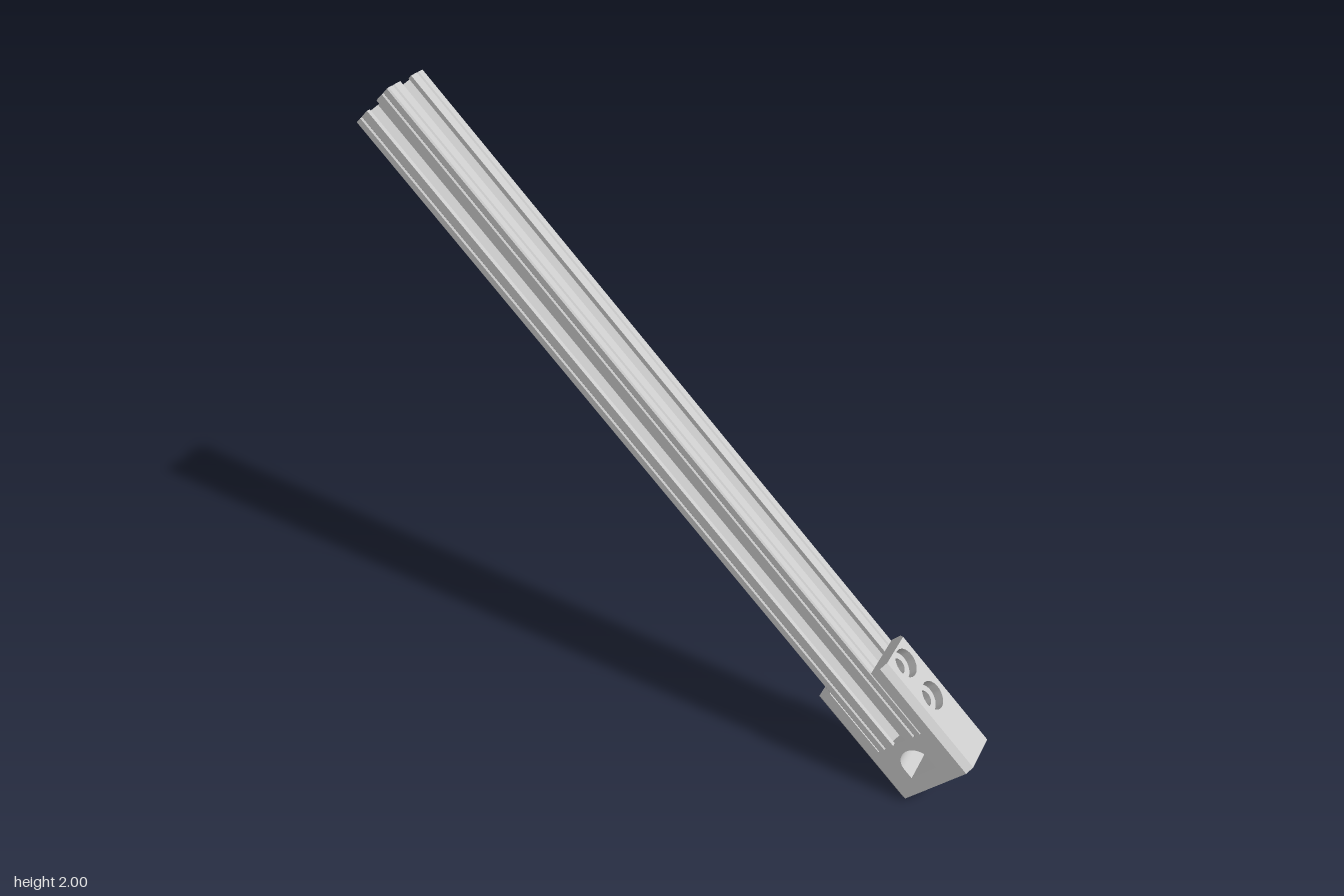
import * as THREE from 'three';
import { toCreasedNormals } from 'three/addons/utils/BufferGeometryUtils.js';

const steel = new THREE.MeshStandardMaterial({ color: 0xcccccc, side: THREE.DoubleSide });
const V = (x, y, z) => new THREE.Vector3(x, y, z);

// Local frame: y runs up the bar, the bracket's end face lies on y = 0
const BAR = 0.088;            // half width of bar and bracket depth
const W = 0.145;              // half width of bracket
const C = 0.02;               // chamfer of bracket's long edges
const FLOOR = 0.174;          // bar seat
const ARM = 0.412;            // arm tips
const TOP = 2.595;            // bar end

function polygon(points) {
  return new THREE.Shape(points.map(([x, y]) => new THREE.Vector2(x, y)));
}

function circleHole(x, y, r) {
  return new THREE.Path().absarc(x, y, r, 0, Math.PI * 2, true);
}

function addMesh(parent, name, geometry) {
  const mesh = new THREE.Mesh(geometry, steel);
  mesh.name = name;
  parent.add(mesh);
  return mesh;
}

// Flat face spanned by u and v; its outside is u x v
function panel(parent, name, shape, origin, u, v) {
  const n = u.clone().cross(v);
  const m = new THREE.Matrix4().makeBasis(u, v, n).setPosition(origin);
  return addMesh(parent, name, new THREE.ShapeGeometry(shape, 16).applyMatrix4(m));
}

function rect(x0, y0, x1, y1) {
  return polygon([[x0, y0], [x1, y0], [x1, y1], [x0, y1]]);
}

// Stepped hole sinking from a face with the given outward normal
function bore(parent, name, origin, normal, r1, d1, r2, d2, floor) {
  const pts = [[r1, 0], [r1, -d1], [r2, -d1], [r2, -d2]];
  if (floor) pts.push([0, -d2]);
  const g = new THREE.LatheGeometry(pts.map(p => new THREE.Vector2(...p)), 32);
  const mesh = addMesh(parent, name, toCreasedNormals(g, 0.6));
  mesh.position.copy(origin);
  mesh.quaternion.setFromUnitVectors(V(0, 1, 0), normal);
}

// Slotted bar: one side of the section repeated four times, with a centre bore
function buildBar(parent) {
  const side = [
    [9.5, 10], [7.3, 10], [6.8, 9.5], [6.3, 10], [3, 10], [3, 8.4],
    [5.9, 8.4], [5.9, 7.2], [2.8, 4.1],
  ];
  const half = [...side, ...side.slice().reverse().map(([x, y]) => [-x, y])];
  const outline = [];
  for (let k = 0; k < 4; k++) {
    const a = k * Math.PI / 2, c = Math.cos(a), s = Math.sin(a);
    for (const [x, y] of half) outline.push([(x * c - y * s) * BAR / 10, (x * s + y * c) * BAR / 10]);
  }
  const shape = polygon(outline);
  shape.holes.push(circleHole(0, 0, 0.02));
  const g = new THREE.ExtrudeGeometry(shape, { depth: TOP - FLOOR, bevelEnabled: false, curveSegments: 12 });
  g.rotateX(-Math.PI / 2);
  addMesh(parent, 'slottedBar', g).position.y = FLOOR;
}

function buildBracket(parent) {
  const X = V(1, 0, 0), Y = V(0, 1, 0), Z = V(0, 0, 1);
  const holeY = 0.089, holeR = 0.052, flatY = 0.054;
  const edge = W - C, zEdge = BAR - C;

  // Front and back cheeks with the D-shaped window
  const cheek = polygon([
    [-edge, 0], [edge, 0], [edge, ARM], [BAR, ARM],
    [BAR, FLOOR], [-BAR, FLOOR], [-BAR, ARM], [-edge, ARM],
  ]);
  const d = new THREE.Path();
  d.moveTo(-holeR, flatY);
  d.lineTo(holeR, flatY);
  d.lineTo(holeR, holeY);
  d.absarc(0, holeY, holeR, 0, Math.PI, false);
  d.lineTo(-holeR, flatY);
  cheek.holes.push(d);
  panel(parent, 'frontCheek', cheek, V(0, 0, BAR), X, Y);
  panel(parent, 'backCheek', cheek, V(0, 0, -BAR), X.clone().negate(), Y);

  // Walls of the window
  const arch = new THREE.CylinderGeometry(holeR, holeR, 2 * BAR, 24, 1, true, -Math.PI / 2, Math.PI);
  arch.rotateX(-Math.PI / 2);
  addMesh(parent, 'windowArch', arch).position.y = holeY;
  panel(parent, 'windowSill', rect(-BAR, -holeR, BAR, holeR), V(0, flatY, 0), Z, X);
  for (const s of [-1, 1]) {
    panel(parent, 'windowSide', rect(-BAR, flatY, BAR, holeY),
      V(s * holeR, 0, 0), V(0, 0, s), Y);
  }

  // Chamfered end face with two stepped screw holes
  const end = polygon([
    [-W, -zEdge], [-edge, -BAR], [edge, -BAR], [W, -zEdge],
    [W, zEdge], [edge, BAR], [-edge, BAR], [-W, zEdge],
  ]);
  for (const s of [-1, 1]) {
    end.holes.push(circleHole(s * 0.1, 0, 0.032));
    bore(parent, 'endScrewHole', V(s * 0.1, 0, 0), V(0, -1, 0), 0.032, 0.03, 0.018, 0.16, true);
  }
  panel(parent, 'endFace', end, V(0, 0, 0), X, Z);
  panel(parent, 'barSeat', rect(-BAR, -BAR, BAR, BAR), V(0, FLOOR, 0), Z, X);

  // Arms: outer and inner faces, tips, chamfers and counterbored holes
  for (const s of [-1, 1]) {
    const outer = rect(-zEdge, 0, zEdge, ARM);
    const inner = rect(-BAR, FLOOR, BAR, ARM);
    for (const y of [0.232, 0.36]) {
      outer.holes.push(circleHole(0, y, 0.045));
      inner.holes.push(circleHole(0, y, 0.025));
      bore(parent, 'armScrewHole', V(s * W, y, 0), V(s, 0, 0), 0.045, 0.03, 0.025, W - BAR, false);
    }
    panel(parent, 'armOuterFace', outer, V(s * W, 0, 0), V(0, 0, -s), Y);
    panel(parent, 'armInnerFace', inner, V(s * BAR, 0, 0), V(0, 0, s), Y);

    const tip = polygon([
      [-BAR, s * BAR], [BAR, s * BAR], [BAR, s * edge], [zEdge, s * W], [-zEdge, s * W], [-BAR, s * edge],
    ]);
    panel(parent, 'armTip', tip, V(0, ARM, 0), Z, X);

    for (const t of [-1, 1]) {
      const across = V(t, 0, -s).multiplyScalar(Math.SQRT1_2);
      const h = C * Math.SQRT1_2;
      panel(parent, 'chamfer', rect(-h, 0, h, ARM),
        V(s * (W - C / 2), 0, t * (BAR - C / 2)), across, Y);
    }
  }
}

export function createModel() {
  const model = new THREE.Group();
  model.name = 'slottedBarWithEndBracket';
  const tilted = new THREE.Group();
  tilted.name = 'tiltedAssembly';
  tilted.rotation.z = Math.PI / 4;
  tilted.position.set(0.8975, 0.1025, 0);
  model.add(tilted);

  const bar = new THREE.Group();
  bar.name = 'bar';
  buildBar(bar);
  const bracket = new THREE.Group();
  bracket.name = 'endBracket';
  buildBracket(bracket);
  tilted.add(bar, bracket);
  return model;
}
